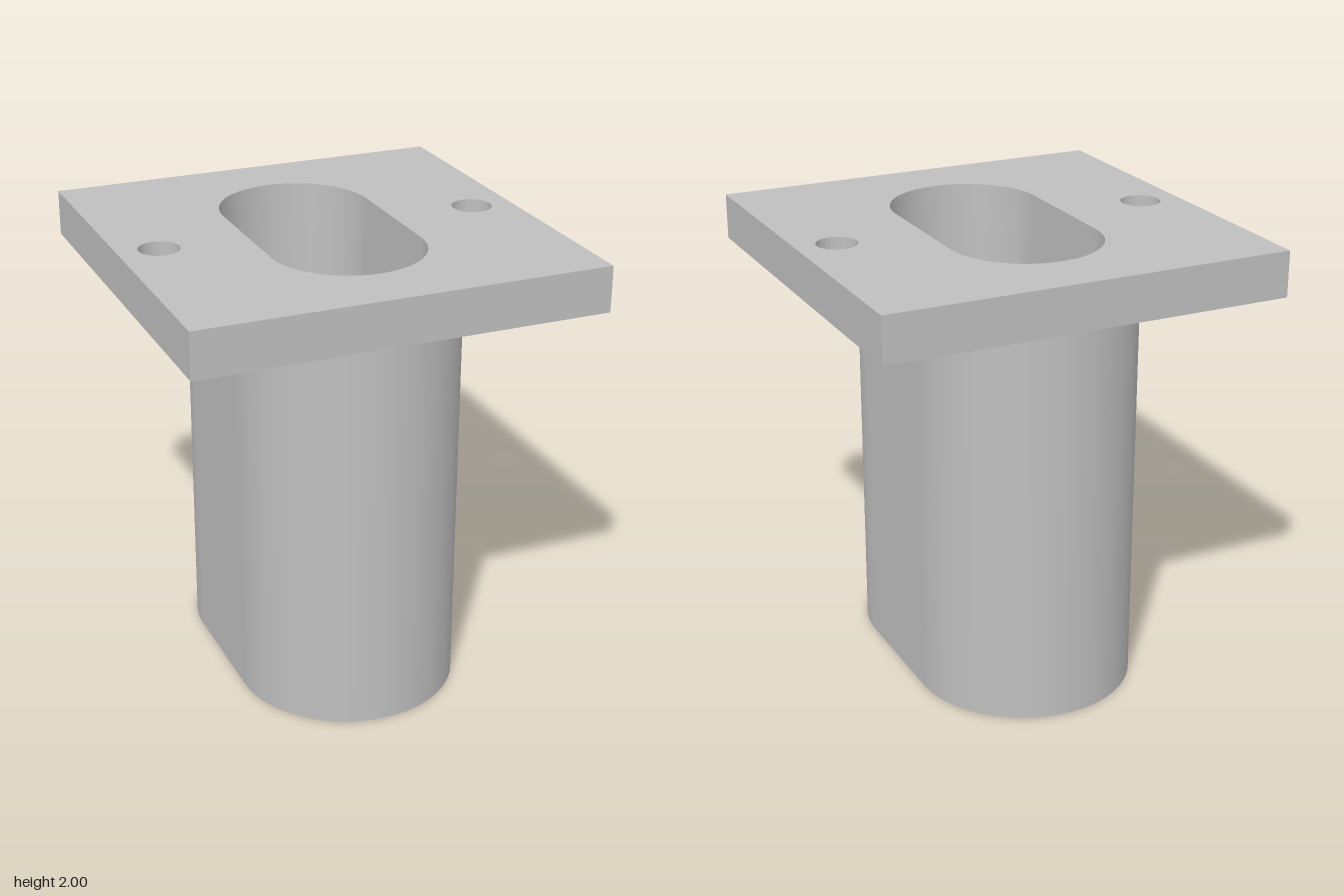
import * as THREE from 'three';
import { toCreasedNormals } from 'three/addons/utils/BufferGeometryUtils.js';

const STRAIGHT = 0.282; // half length of the straight slot walls
const PLATE_HALF = 0.895;
const PLATE_BOTTOM = 1.8;
const TOP = 2;

// Rounded slot outline, long along z once laid flat
function slot(path, radius) {
  path.absarc(0, STRAIGHT, radius, 0, Math.PI, false);
  path.absarc(0, -STRAIGHT, radius, Math.PI, Math.PI * 2, false);
  path.closePath();
  return path;
}

// Extrude a flat shape upwards from y0 to y1, smooth on curves and sharp at rims
function extrudeUp(shape, y0, y1) {
  const geometry = new THREE.ExtrudeGeometry(shape, {
    depth: y1 - y0, bevelEnabled: false, curveSegments: 32,
  });
  geometry.rotateX(-Math.PI / 2);
  geometry.translate(0, y0, 0);
  return toCreasedNormals(geometry, 0.5);
}

export function createModel() {
  const group = new THREE.Group();
  group.name = 'flangedSlotTube';
  const grey = new THREE.MeshStandardMaterial({ color: 0xbfbfbf });
  grey.name = 'grey';

  const add = (name, geometry) => {
    const mesh = new THREE.Mesh(geometry, grey);
    mesh.name = name;
    group.add(mesh);
  };

  // Hollow slot-shaped tube
  const tube = slot(new THREE.Shape(), 0.484);
  tube.holes.push(slot(new THREE.Path(), 0.333));
  add('tube', extrudeUp(tube, 0, PLATE_BOTTOM));

  // Square flange with the slot opening and two bolt holes
  const h = PLATE_HALF;
  const plate = new THREE.Shape([
    new THREE.Vector2(-h, -h), new THREE.Vector2(h, -h),
    new THREE.Vector2(h, h), new THREE.Vector2(-h, h),
  ]);
  plate.holes.push(slot(new THREE.Path(), 0.333));
  for (const side of [-1, 1]) {
    plate.holes.push(new THREE.Path().absarc(side * 0.716, 0, 0.088, 0, Math.PI * 2, false));
  }
  add('flangePlate', extrudeUp(plate, PLATE_BOTTOM, TOP));

  return group;
}
